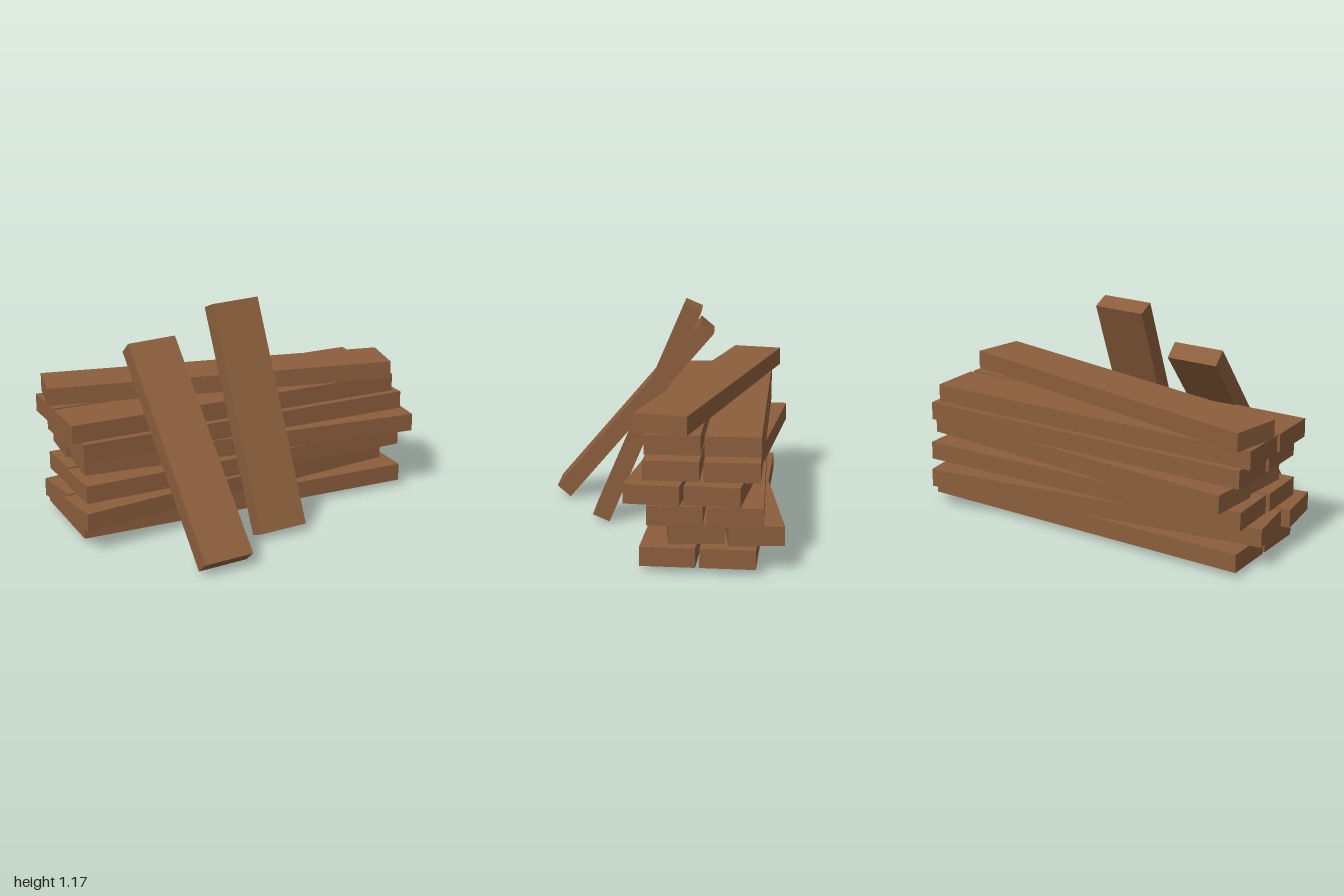
import * as THREE from 'three';

const LENGTH = 1.88, THICK = 0.096, WIDTH = 0.27;

export function createModel() {
  const group = new THREE.Group();
  group.name = 'plankPile';
  const wood = new THREE.MeshStandardMaterial({ color: 0x8b5e3c, flatShading: true });
  const plankGeometry = new THREE.BoxGeometry(LENGTH, THICK, WIDTH);
  const shortGeometry = new THREE.BoxGeometry(WIDTH, 1.224, THICK);

  // Stacked layers: centre x, centre y, turn about y, z of each plank
  const pair = [-0.104, -0.394];
  const layers = [
    [0.005, 0.08, 0, pair],
    [-0.05, 0.178, 0.144, pair],
    [0.008, 0.286, 0.037, pair],
    [0.05, 0.398, -0.077, pair],
    [0.008, 0.507, 0.019, pair],
    [-0.05, 0.618, 0.019, pair],
    [-0.05, 0.713, -0.195, [-0.243]],
  ];
  layers.forEach(([x, y, turn, rows], i) => {
    const layer = new THREE.Group();
    layer.name = `plankLayer${i + 1}`;
    for (const z of rows) {
      const plank = new THREE.Mesh(plankGeometry, wood);
      plank.name = 'stackedPlank';
      plank.position.set(x, y, z);
      plank.rotation.y = turn;
      layer.add(plank);
    }
    group.add(layer);
  });

  // Short planks leaning on the front, each set by the centres of its two ends
  const addLeaning = (name, bottom, top) => {
    const along = top.clone().sub(bottom).normalize();
    const across = new THREE.Vector3(1, 0, -0.05);
    across.addScaledVector(along, -across.dot(along)).normalize();
    const facing = across.clone().cross(along);
    const plank = new THREE.Mesh(shortGeometry, wood);
    plank.name = name;
    plank.quaternion.setFromRotationMatrix(new THREE.Matrix4().makeBasis(across, along, facing));
    plank.position.copy(bottom).add(top).multiplyScalar(0.5);
    group.add(plank);
  };
  addLeaning('leaningPlankRight', new THREE.Vector3(-0.403, 0.042, 0.622), new THREE.Vector3(-0.475, 0.97, -0.172));
  addLeaning('leaningPlankMiddle', new THREE.Vector3(0.035, 0.025, 0.343), new THREE.Vector3(-0.018, 1.15, -0.137));

  return group;
}
